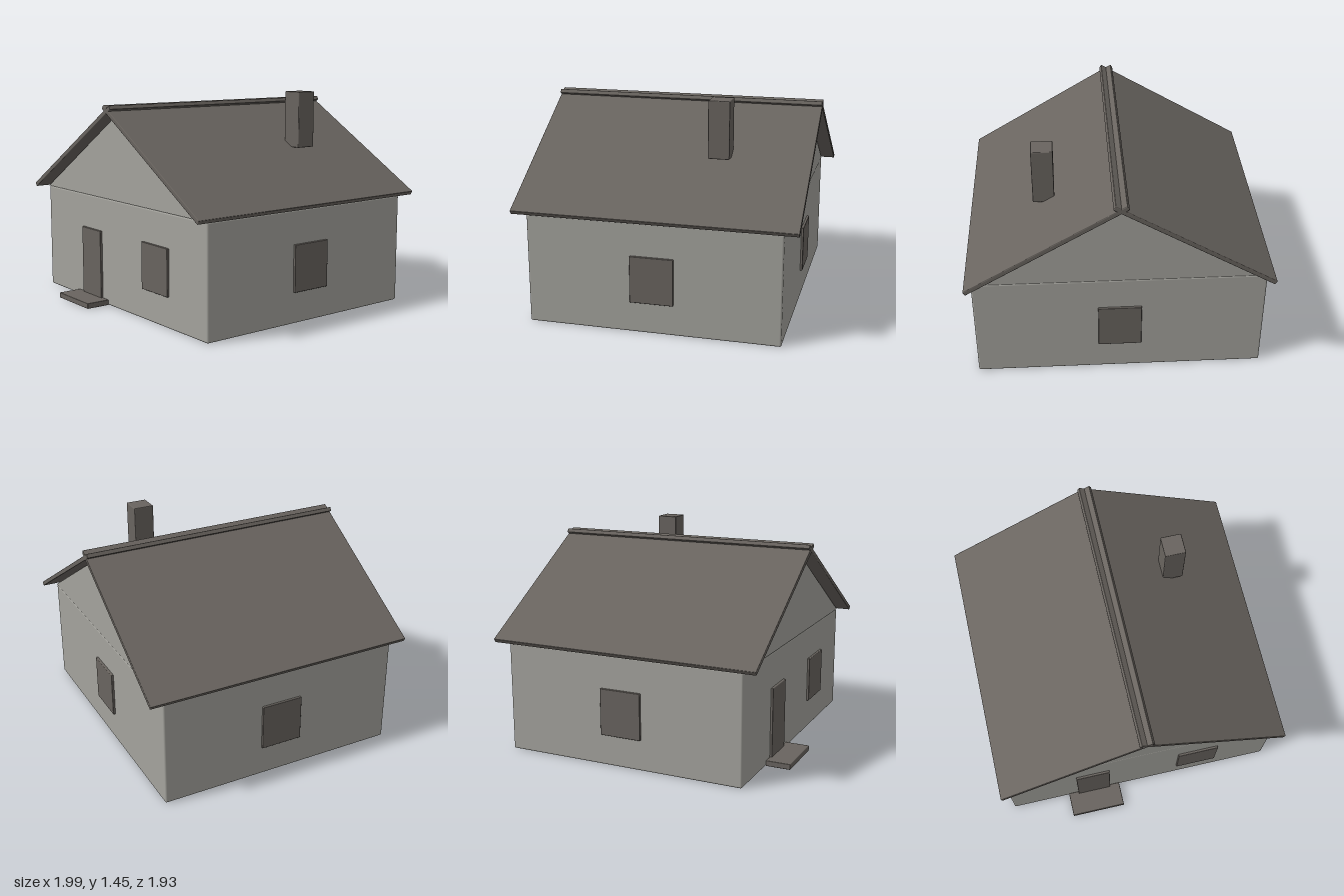
import * as THREE from 'three';
import { RoundedBoxGeometry } from 'three/addons/geometries/RoundedBoxGeometry.js';

const wallGrey = new THREE.MeshStandardMaterial({ color: 0xa4a39d });
wallGrey.name = 'wallGrey';
const trimGrey = new THREE.MeshStandardMaterial({ color: 0x69645f });
trimGrey.name = 'trimGrey';

export function createModel() {
  const house = new THREE.Group();
  house.name = 'house';

  // Softly bevelled box given by its min and max corners
  function block(name, material, min, max, radius = 0.005) {
    const a = new THREE.Vector3(...min), b = new THREE.Vector3(...max);
    const size = b.clone().sub(a);
    const mesh = new THREE.Mesh(new RoundedBoxGeometry(size.x, size.y, size.z, 2, radius), material);
    mesh.position.copy(a.add(b).multiplyScalar(0.5));
    mesh.name = name;
    house.add(mesh);
    return mesh;
  }

  const front = 0.8, back = -0.87, side = 0.955, eave = 0.74;

  // Walls and the gable prism above them
  block('walls', wallGrey, [-side, 0, back], [side, eave, front], 0.012);
  const triangle = new THREE.Shape([
    new THREE.Vector2(-0.96, eave), new THREE.Vector2(0.96, eave), new THREE.Vector2(0, 1.325),
  ]);
  const gable = new THREE.Mesh(
    new THREE.ExtrudeGeometry(triangle, { depth: front - back, bevelEnabled: false }), wallGrey);
  gable.position.z = back;
  gable.name = 'gable';
  house.add(gable);

  // Roof slabs: each runs from its eave past the ridge, so the two cross at the top
  const roofFront = 0.895, roofBack = -0.967;
  const top = new THREE.Vector2(-0.035, 1.383), low = new THREE.Vector2(0.997, 0.765);
  const along = low.clone().sub(top);
  const length = along.length(), angle = along.angle(), thick = 0.03;
  const centre = top.clone().add(low).multiplyScalar(0.5);
  centre.x += Math.sin(angle) * thick / 2;
  centre.y -= Math.cos(angle) * thick / 2;
  for (const s of [1, -1]) {
    const slab = new THREE.Mesh(
      new RoundedBoxGeometry(length, thick, roofFront - roofBack, 2, 0.005), trimGrey);
    slab.position.set(s * centre.x, centre.y, (roofFront + roofBack) / 2);
    slab.rotation.z = s * angle;
    slab.name = s > 0 ? 'leftRoofSlab' : 'rightRoofSlab';
    house.add(slab);
  }

  // Chimney
  block('chimney', trimGrey, [0.405, 1.072, -0.442], [0.547, 1.453, -0.3], 0.006);

  // Door and step
  block('door', trimGrey, [-0.468, 0.02, front - 0.015], [-0.228, 0.507, front + 0.016]);
  block('step', trimGrey, [-0.54, 0, front], [-0.157, 0.038, 0.967]);

  // Windows standing slightly proud of each wall
  const sill = 0.206, head = 0.518;
  block('frontWindow', trimGrey, [0.275, sill, front - 0.015], [0.562, head, front + 0.016]);
  block('backWindow', trimGrey, [-0.143, sill, back - 0.016], [0.143, head, back + 0.015]);
  block('leftWindow', trimGrey, [side - 0.015, sill, -0.178], [side + 0.016, head, 0.108]);
  block('rightWindow', trimGrey, [-side - 0.016, sill, -0.178], [-side + 0.015, head, 0.108]);

  return house;
}
